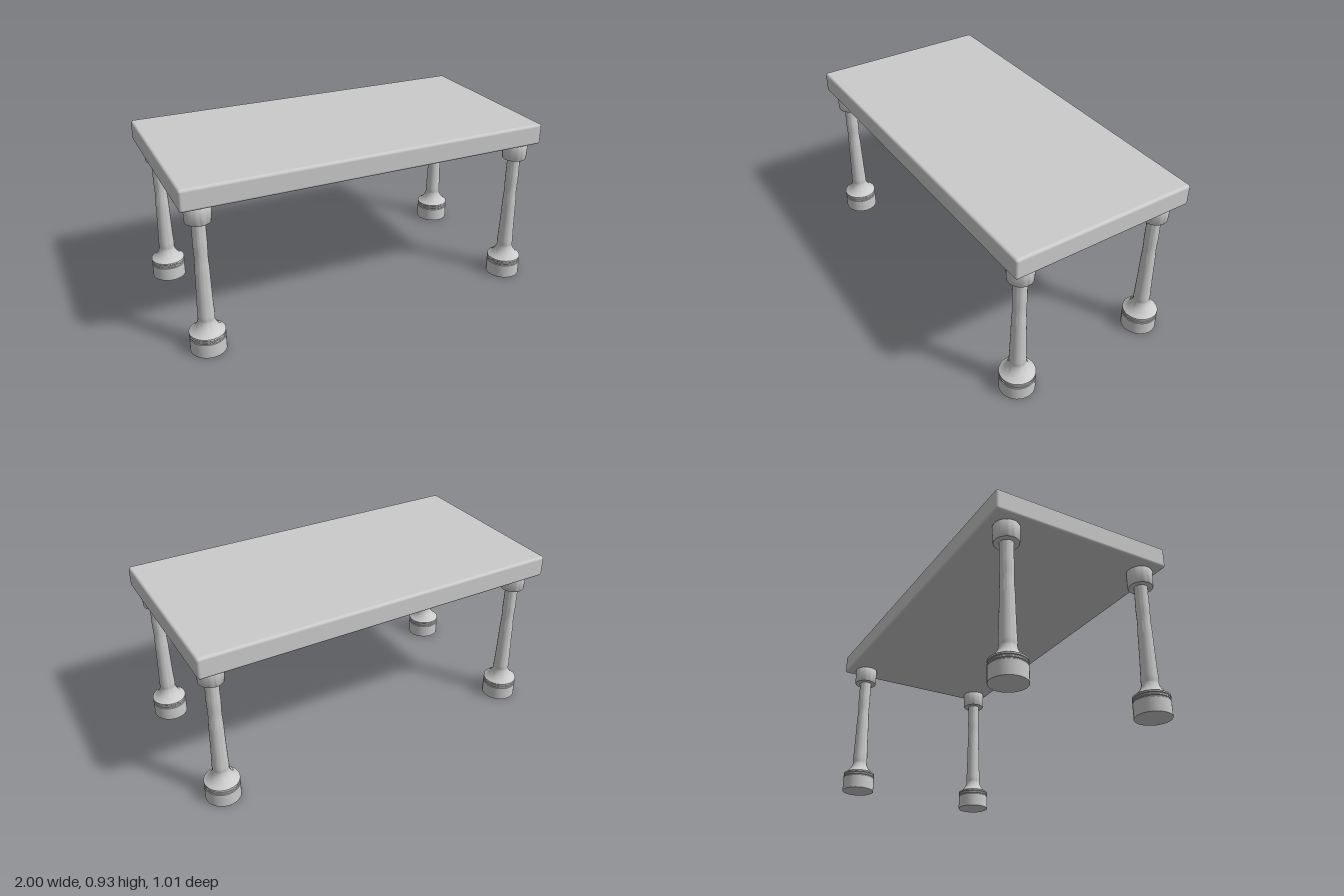
import * as THREE from 'three';
import { RoundedBoxGeometry } from 'three/addons/geometries/RoundedBoxGeometry.js';
import { toCreasedNormals } from 'three/addons/utils/BufferGeometryUtils.js';

const material = new THREE.MeshStandardMaterial({ color: 0xcccccc });
const points = (list) => list.map(([r, y]) => new THREE.Vector2(r, y));

function turned(name, profile) {
  const geometry = toCreasedNormals(new THREE.LatheGeometry(profile, 40), 0.6);
  const mesh = new THREE.Mesh(geometry, material);
  mesh.name = name;
  return mesh;
}

function createLeg() {
  const leg = new THREE.Group();

  // Drum foot with two thin rings above it
  leg.add(turned('foot', points([
    [0, 0], [0.093, 0], [0.093, 0.077], [0.09, 0.08], [0.09, 0.083],
    [0.093, 0.086], [0.093, 0.092], [0.09, 0.095], [0.09, 0.098],
    [0.093, 0.101], [0.093, 0.109], [0.09, 0.111], [0, 0.111],
  ])));

  // Concave flare running into a softly waisted shaft
  const shaft = new THREE.SplineCurve(points([
    [0.09, 0.11], [0.07, 0.126], [0.052, 0.15], [0.043, 0.175], [0.044, 0.2],
    [0.042, 0.25], [0.04, 0.32], [0.038, 0.4], [0.037, 0.46], [0.034, 0.525],
    [0.036, 0.6], [0.035, 0.66], [0.035, 0.74], [0.035, 0.825],
  ]));
  leg.add(turned('shaft', shaft.getPoints(52)));

  // Slightly tapered collar under the top
  leg.add(turned('collar', points([
    [0, 0.723], [0.063, 0.723], [0.065, 0.726], [0.068, 0.812], [0.066, 0.816], [0, 0.816],
  ])));
  return leg;
}

export function createModel() {
  const table = new THREE.Group();
  table.name = 'table';

  // Thick slab with softened edges
  const top = new THREE.Mesh(new RoundedBoxGeometry(2, 0.115, 1.006, 4, 0.015), material);
  top.name = 'tableTop';
  top.position.y = 0.877;
  table.add(top);

  // Four legs, set a touch off centre toward the front left
  for (const [side, x] of [['Right', -0.897], ['Left', 0.905]]) {
    for (const [end, z] of [['front', 0.411], ['back', -0.391]]) {
      const leg = createLeg();
      leg.name = `${end}${side}Leg`;
      leg.position.set(x, 0, z);
      table.add(leg);
    }
  }
  return table;
}
